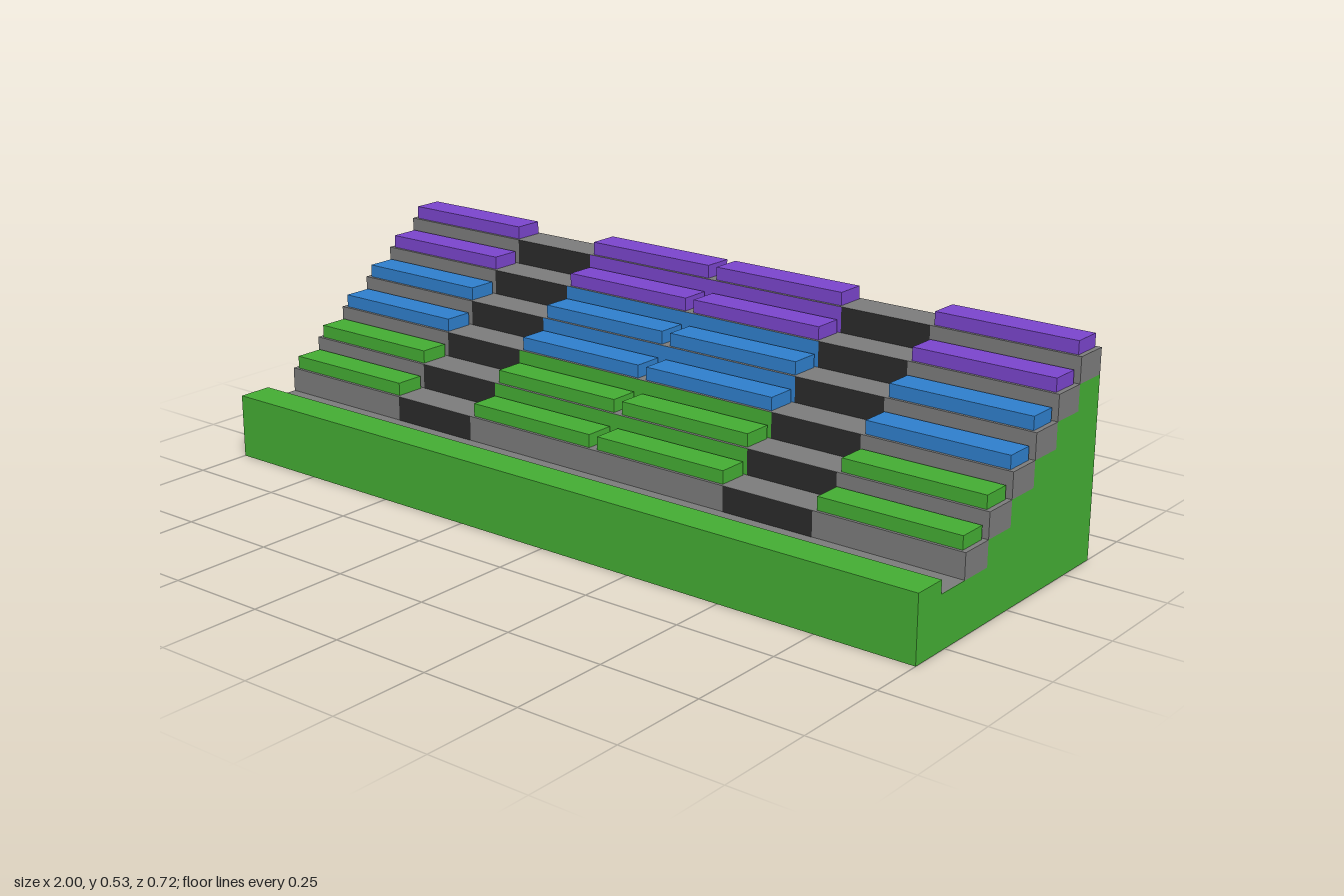
import * as THREE from 'three';

const GREEN = 0x44ad33, BLUE = 0x2f7fcc, PURPLE = 0x7a45cc, GREY = 0x7b7b7b, DARK = 0x2a2a2a;
const ROWS = 6, HALF = 0.36, DEPTH = 0.0903, RISE = 0.062, FLOOR = 0.128;
const FRONT = HALF - 0.178; // z of the first riser
const rowColors = [GREEN, GREEN, BLUE, BLUE, PURPLE, PURPLE];

const materials = new Map();
function material(color) {
  if (!materials.has(color)) materials.set(color, new THREE.MeshStandardMaterial({ color }));
  return materials.get(color);
}

export function createModel() {
  const root = new THREE.Group();
  root.name = 'grandstand';

  function add(name, geometry, color, x, y, z, parent = root) {
    const mesh = new THREE.Mesh(geometry, material(color));
    mesh.name = name;
    mesh.position.set(x, y, z);
    parent.add(mesh);
    return mesh;
  }

  // Stepped base with the front parapet, extruded across the width
  const profile = [[-HALF, 0], [HALF, 0], [HALF, 0.16], [0.272, 0.16], [0.272, FLOOR]];
  for (let i = 1; i < ROWS; i++) {
    const z = FRONT - i * DEPTH;
    profile.push([z, FLOOR + (i - 1) * RISE], [z, FLOOR + i * RISE]);
  }
  profile.push([-HALF, FLOOR + (ROWS - 1) * RISE]);
  const shape = new THREE.Shape(profile.map(([z, y]) => new THREE.Vector2(-z, y)));
  const baseGeometry = new THREE.ExtrudeGeometry(shape, { depth: 2, bevelEnabled: false });
  baseGeometry.translate(0, 0, -1).rotateY(Math.PI / 2);
  add('base', baseGeometry, GREEN, 0, 0, 0);

  // Walkway between parapet and first row
  const walkway = new THREE.PlaneGeometry(2, 0.272 - FRONT).rotateX(-Math.PI / 2);
  add('walkway', walkway, GREY, 0, FLOOR + 0.001, (0.272 + FRONT) / 2);

  const seatGeometry = new THREE.BoxGeometry(0.362, 0.032, 0.075);
  const aisleGeometry = new THREE.PlaneGeometry(0.24, RISE);
  const centreGeometry = new THREE.PlaneGeometry(0.76, RISE);

  for (let i = 0; i < ROWS; i++) {
    const row = new THREE.Group();
    row.name = `row${i + 1}`;
    root.add(row);
    const bottom = FLOOR + i * RISE, front = FRONT - i * DEPTH;
    const back = i === ROWS - 1 ? -HALF : front - DEPTH;

    // Concrete step
    add('step', new THREE.BoxGeometry(2, RISE, front - back), GREY,
      0, bottom + RISE / 2, (front + back) / 2, row);

    // Dark risers in the two aisles
    for (const side of [-1, 1]) {
      add('aisleRiser', aisleGeometry, DARK, side * 0.5, bottom + RISE / 2, front + 0.001, row);
    }

    // Centre riser coloured like the bench in front of it
    if (i > 0) {
      add('centreRiser', centreGeometry, rowColors[i - 1], 0, bottom + RISE / 2, front + 0.001, row);
    }

    // Four benches
    for (const x of [-0.807, -0.193, 0.193, 0.807]) {
      add('bench', seatGeometry, rowColors[i], x, bottom + RISE + 0.016, front - 0.045, row);
    }
  }

  // Green facing on the back of the top step
  const facing = new THREE.PlaneGeometry(2, RISE).rotateY(Math.PI);
  add('backFacing', facing, GREEN, 0, FLOOR + (ROWS - 0.5) * RISE, -HALF - 0.001);

  return root;
}
